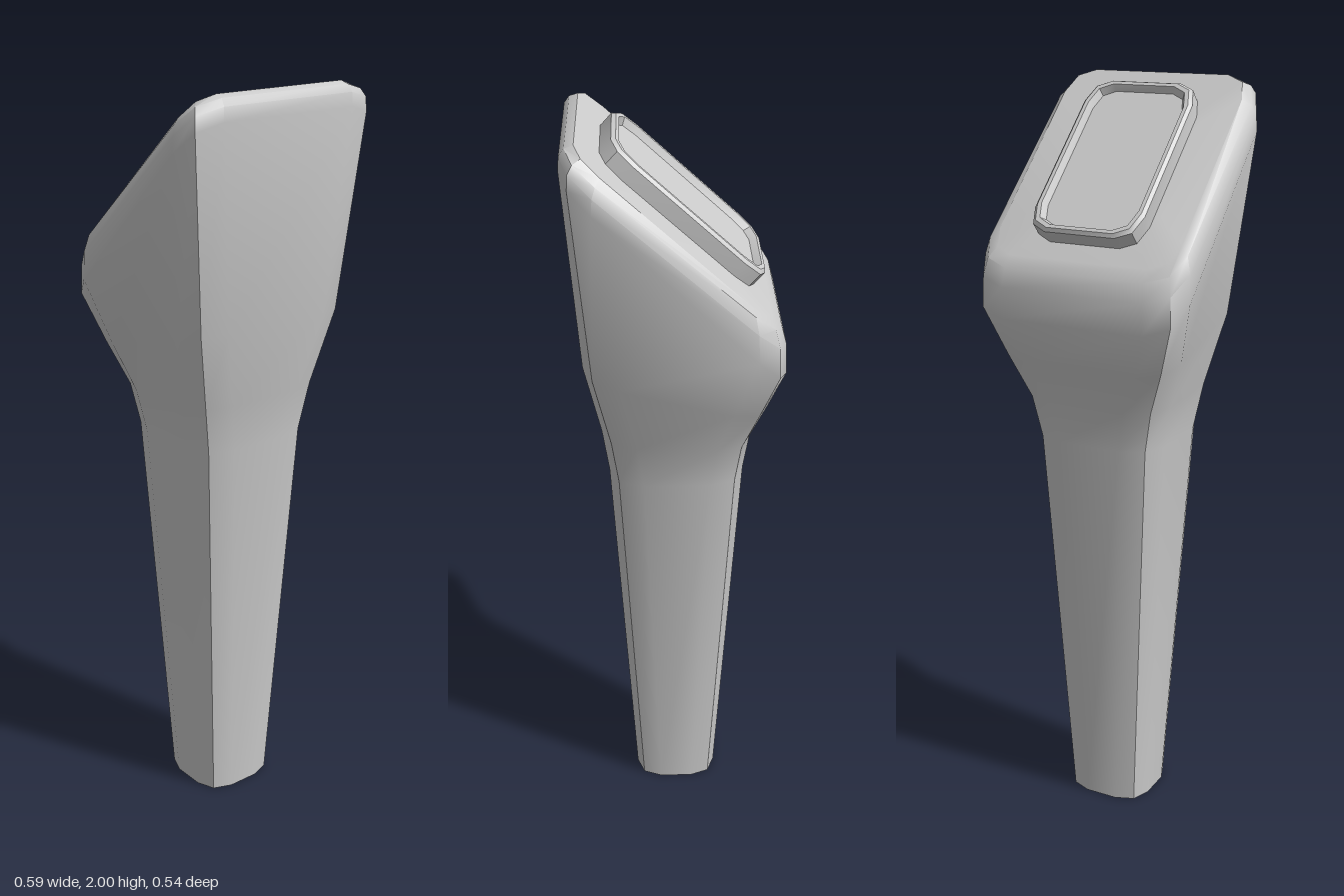
import * as THREE from 'three';
import { toCreasedNormals } from 'three/addons/utils/BufferGeometryUtils.js';

const material = new THREE.MeshStandardMaterial({ color: 0xcccccc });

// Twelve-point rounded rectangle; each corner is cut by two facets.
// Half width w, z from zb to zf, height running from yb (back) to yf (front).
function ring({ w, zf, yf, zb = -zf, yb = yf, rx, rz = rx }) {
  const points = [];
  for (const [sx, sz] of [[1, 1], [1, -1], [-1, -1], [-1, 1]]) {
    const corner = [[1, 0], [0.28, 0.28], [0, 1]].map(([a, b]) => {
      const x = sx * (w - a * rx);
      const z = sz > 0 ? zf - b * rz : zb + b * rz;
      return new THREE.Vector3(x, THREE.MathUtils.mapLinear(z, zb, zf, yb, yf), z);
    });
    points.push(...(sx * sz > 0 ? corner : corner.reverse()));
  }
  return points;
}

// Skin a stack of rings from bottom to top, closing both ends if asked.
function loft(name, rings, capBottom, capTop) {
  const positions = [];
  const tri = (...corners) => corners.forEach((p) => positions.push(p.x, p.y, p.z));
  const centre = (r) => r.reduce((sum, p) => sum.add(p), new THREE.Vector3()).divideScalar(r.length);
  const n = rings[0].length;
  const first = rings[0], last = rings[rings.length - 1];
  for (let i = 0; i < n; i++) {
    const j = (i + 1) % n;
    for (let k = 0; k < rings.length - 1; k++) {
      const a = rings[k], b = rings[k + 1];
      tri(a[i], a[j], b[j]);
      tri(a[i], b[j], b[i]);
    }
    if (capBottom) tri(centre(first), first[j], first[i]);
    if (capTop) tri(centre(last), last[i], last[j]);
  }
  const geometry = new THREE.BufferGeometry();
  geometry.setAttribute('position', new THREE.Float32BufferAttribute(positions, 3));
  const mesh = new THREE.Mesh(toCreasedNormals(geometry, 0.65), material);
  mesh.name = name;
  return mesh;
}

export function createModel() {
  const model = new THREE.Group();
  model.name = 'handheldDevice';

  // Tapered handle flaring into a head whose top slopes down to the back
  model.add(loft('body', [
    { w: 0.115, zf: 0.115, yf: 0, rx: 0.07 },
    { w: 0.178, zf: 0.176, yf: 1.08, rx: 0.09 },
    { w: 0.2, zf: 0.193, yf: 1.21, zb: -0.19, yb: 1.19, rx: 0.09 },
    { w: 0.246, zf: 0.235, yf: 1.42, zb: -0.228, yb: 1.3, rx: 0.09 },
    { w: 0.293, zf: 0.272, yf: 1.94, zb: -0.268, yb: 1.42, rx: 0.093, rz: 0.075 },
    { w: 0.291, zf: 0.27, yf: 1.975, zb: -0.265, yb: 1.5, rx: 0.093, rz: 0.075 },
    { w: 0.28, zf: 0.257, yf: 1.993, zb: -0.252, yb: 1.548, rx: 0.085, rz: 0.07 },
    { w: 0.258, zf: 0.235, yf: 2.0, zb: -0.228, yb: 1.577, rx: 0.065, rz: 0.06 },
  ].map(ring), true, true));

  // Raised display lying on the slope
  const display = new THREE.Group();
  display.name = 'display';
  display.position.set(0, 1.78, -0.004);
  display.rotation.x = -0.742;
  const plateRing = (inset, height) => ring({
    w: 0.155 - inset, zf: 0.25 - inset, yf: height,
    rx: 0.057 - inset * 0.4, rz: 0.072 - inset * 0.4,
  });
  const floor = plateRing(0.027, 0.032);
  display.add(loft('displayFrame', [
    plateRing(0, -0.015), plateRing(0, 0.042), plateRing(0.008, 0.05),
    plateRing(0.018, 0.05), floor,
  ], false, false));
  display.add(loft('screen', [floor], false, true));
  model.add(display);

  return model;
}
